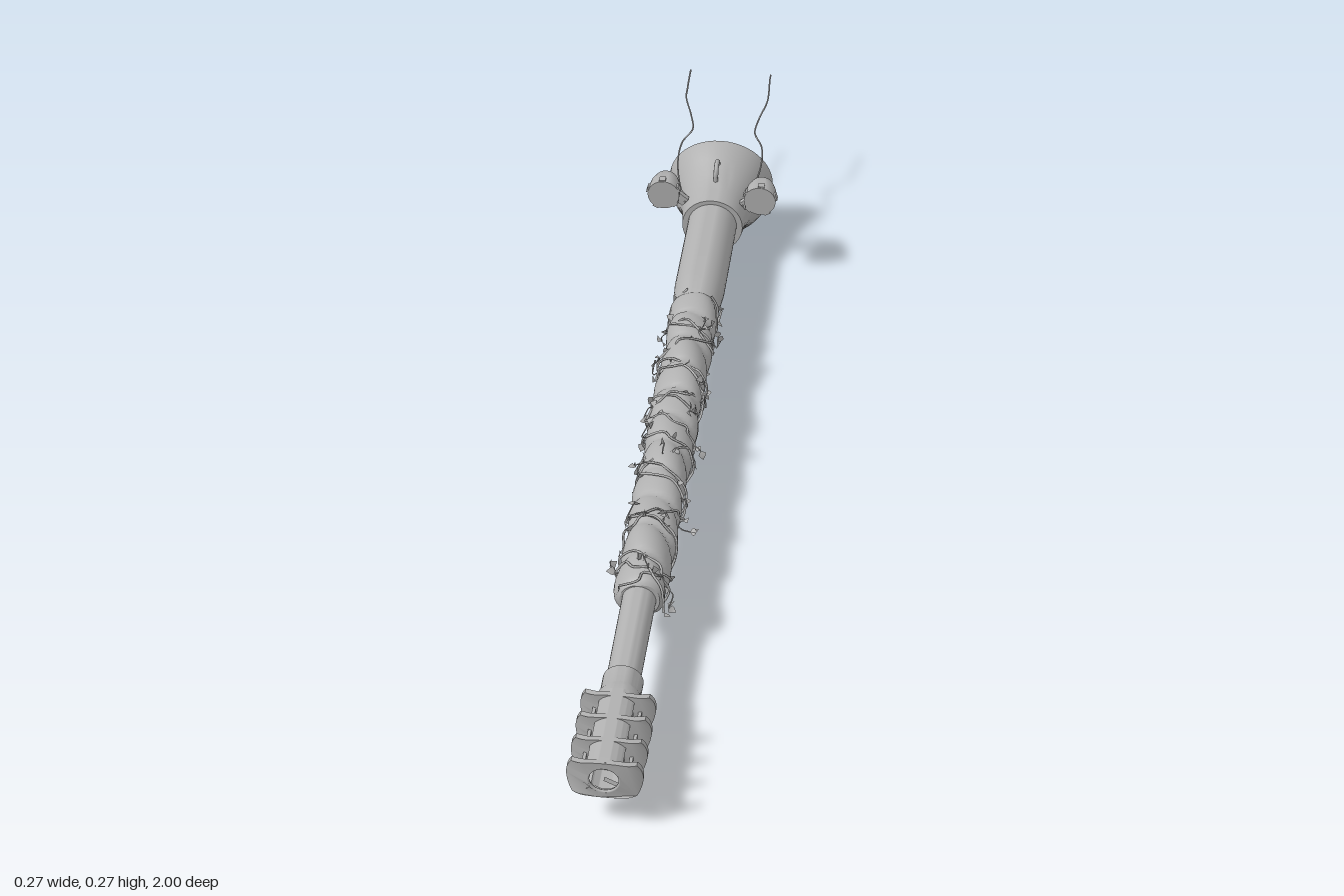
import * as THREE from 'three';
import { mergeGeometries, toCreasedNormals } from 'three/addons/utils/BufferGeometryUtils.js';

const AXIS = 0.107;
const steel = new THREE.MeshStandardMaterial({ color: 0xb0b0b0, side: THREE.DoubleSide });
steel.name = 'plain grey';

// Seeded random numbers
let seed = 7;
const rnd = () => (seed = (seed * 16807) % 2147483647) / 2147483647;
const span = (a, b) => a + (b - a) * rnd();
const V = (x, y, z) => new THREE.Vector3(x, y, z);

// Lathe along z from [radius, z] pairs, ordered back to front
function turned(points, segments = 32) {
  const g = new THREE.LatheGeometry(points.map(p => new THREE.Vector2(p[0], p[1])), segments);
  return g.rotateX(Math.PI / 2);
}

function add(parent, name, geometry, x = 0, y = 0, z = 0) {
  const m = new THREE.Mesh(geometry, steel);
  m.name = name;
  m.position.set(x, y, z);
  parent.add(m);
  return m;
}

const tube = (pts, r, n = 24, sides = 6) =>
  new THREE.TubeGeometry(new THREE.CatmullRomCurve3(pts), n, r, sides);

// Flared base with a flat underside and a back of two sloping planes
function mantletGeometry() {
  const profile = [[0, 1], [0.11, 1], [0.109, 0.95], [0.093, 0.72], [0.078, 0.48],
    [0.068, 0.25], [0.063, 0], [0.046, 0]].map(([r, t]) => [r, -t]);
  const g = turned(profile, 48);
  const p = g.attributes.position;
  for (let i = 0; i < p.count; i++) {
    const y = Math.max(p.getY(i), -0.104);
    const back = -0.828 + (y > 0 ? 0.15 * y : -0.34 * y);
    p.setXYZ(i, p.getX(i), y, -0.655 + p.getZ(i) * (-0.655 - back));
  }
  return toCreasedNormals(g, 0.5);
}

// One swept brake baffle with a bore hole; its tips lean backwards
function baffleGeometry() {
  const s = new THREE.Shape();
  const n = 12, a = 0.56;
  for (let i = 0; i <= n; i++) {
    const t = -a + 2 * a * i / n;
    s.lineTo(0.066 * Math.cos(t), 0.066 * Math.sin(t));
  }
  s.quadraticCurveTo(0, 0.044, -0.066 * Math.cos(a), 0.066 * Math.sin(a));
  for (let i = 0; i <= n; i++) {
    const t = Math.PI - a + 2 * a * i / n;
    s.lineTo(0.066 * Math.cos(t), 0.066 * Math.sin(t));
  }
  s.quadraticCurveTo(0, -0.044, 0.066 * Math.cos(a), -0.066 * Math.sin(a));
  s.holes.push(new THREE.Path().absarc(0, 0, 0.028, 0, Math.PI * 2, true));
  const g = new THREE.ExtrudeGeometry(s, { depth: 0.01, bevelEnabled: false, curveSegments: 24 });
  const p = g.attributes.position;
  for (let i = 0; i < p.count; i++) {
    const over = Math.max(0, Math.abs(p.getX(i)) - 0.035);
    p.setZ(i, p.getZ(i) - 15 * over * over);
  }
  return toCreasedNormals(g, 0.6);
}

function muzzleBrake() {
  const brake = new THREE.Group();
  brake.name = 'muzzleBrake';
  for (let i = 0; i < 4; i++) add(brake, 'baffle', baffleGeometry(), 0, 0, 0.99 - i * 0.056);
  // Curved top and bottom shells tie the baffles together
  const arc = new THREE.Shape();
  arc.absarc(0, 0, 0.04, Math.PI * 0.22, Math.PI * 0.78, false);
  arc.absarc(0, 0, 0.03, Math.PI * 0.78, Math.PI * 0.22, true);
  for (const turn of [0, Math.PI]) {
    const g = new THREE.ExtrudeGeometry(arc, { depth: 0.185, bevelEnabled: false, curveSegments: 16 });
    add(brake, 'brakeShell', toCreasedNormals(g, 0.6), 0, 0, 0.812).rotation.z = turn;
  }
  for (const s of [-1, 1]) add(brake, 'sideBar', new THREE.BoxGeometry(0.006, 0.007, 0.18), s * 0.04, 0, 0.9);
  add(brake, 'boreRing', new THREE.TorusGeometry(0.028, 0.003, 8, 32), 0, 0, 0.997);
  add(brake, 'brakeCollar', toCreasedNormals(
    turned([[0.028, 0.748], [0.036, 0.75], [0.036, 0.79], [0.04, 0.80], [0.04, 0.825], [0, 0.825]]), 0.5));
  return brake;
}

// Lumpy cloth sleeve wound round the middle of the barrel
function wrapGeometry() {
  const g = new THREE.CylinderGeometry(1, 1, 0.89, 32, 150, false).rotateX(Math.PI / 2);
  const p = g.attributes.position;
  for (let i = 0; i < p.count; i++) {
    const x = p.getX(i), y = p.getY(i), z = p.getZ(i) + 0.09;
    const a = Math.atan2(y, x);
    const fold = Math.abs(Math.sin(z * 38 + a * 0.5 + 0.9 * Math.sin(a)));
    const end = Math.min(1, (0.54 - z) / 0.03 + 0.65, (z + 0.36) / 0.03 + 0.75);
    const r = (0.039 + 0.009 * Math.sqrt(fold) + 0.002 * Math.sin(3 * a + z * 21)) * end;
    if (x * x + y * y > 0.5) p.setXYZ(i, x * r, y * r, z);
    else p.setZ(i, z);
  }
  g.computeVertexNormals();
  return g;
}

// A small folded leaf
function leafGeometry(size) {
  const s = new THREE.Shape();
  [[0, 0], [0.45, 0.3], [0.35, 0.55], [0, 1], [-0.35, 0.55], [-0.45, 0.3]]
    .forEach(([x, y]) => s.lineTo(x * size, y * size));
  const g = new THREE.ShapeGeometry(s);
  const p = g.attributes.position;
  for (let i = 0; i < p.count; i++) p.setZ(i, Math.abs(p.getX(i)) * 0.5);
  g.computeVertexNormals();
  return g;
}

// Creepers spiralling along the sleeve, with sprigs and leaves
function creepers() {
  const group = new THREE.Group();
  group.name = 'creepers';
  const stems = [], leaves = [];
  const onBarrel = (a, r, z) => V(Math.cos(a) * r, Math.sin(a) * r, z);
  const leafAt = (pos) => {
    const g = leafGeometry(span(0.012, 0.02));
    g.applyQuaternion(new THREE.Quaternion().setFromEuler(
      new THREE.Euler(span(0, 6.28), span(0, 6.28), span(0, 6.28))));
    leaves.push(g.translate(pos.x, pos.y, pos.z));
  };
  for (const [start, turns] of [[0, 6], [2.1, -5], [4.2, 7.5]]) {
    const pts = [], n = 76;
    for (let i = 0; i <= n; i++) {
      const t = i / n;
      const a = start + turns * 6.283 * t + span(-0.3, 0.3);
      const z = 0.54 - 0.89 * t + span(-0.01, 0.01);
      const r = span(0.046, 0.054);
      pts.push(onBarrel(a, r, z));
      if (i % 3 === 0) leafAt(onBarrel(a, r + 0.002, z));
      // Loose sprigs, longer where they hang below
      if (i % 7 === 3) {
        const reach = Math.sin(a) < -0.4 ? span(0.066, 0.08) : span(0.054, 0.062);
        const tip = onBarrel(a + span(-0.4, 0.4), reach, z + span(-0.03, 0.03));
        stems.push(tube([pts[i], onBarrel(a, (r + reach) / 2 + 0.004, z + 0.01), tip], 0.0013, 6, 4));
        leafAt(tip);
        leafAt(tip);
      }
    }
    stems.push(tube(pts, 0.0024, 300, 5));
  }
  add(group, 'creeperStems', mergeGeometries(stems));
  add(group, 'creeperLeaves', mergeGeometries(leaves));
  return group;
}

// Lamp with rim lugs, bracket and trailing wire on one side
function lampSet(s) {
  const set = new THREE.Group();
  set.name = s > 0 ? 'leftLamp' : 'rightLamp';
  const shell = turned([[0, -0.703], [0.014, -0.699], [0.025, -0.688], [0.031, -0.67],
    [0.033, -0.652], [0.033, -0.634], [0, -0.634]], 24);
  add(set, 'lampShell', toCreasedNormals(shell, 0.6), s * 0.1, 0.188, 0);
  for (const a of [0.3, 1.5, 2.7, 3.9, 5.2]) {
    const lug = add(set, 'rimLug', new THREE.BoxGeometry(0.006, 0.013, 0.014),
      s * (0.1 + 0.033 * Math.cos(a)), 0.188 + 0.033 * Math.sin(a), -0.642);
    lug.rotation.z = s * a;
  }
  add(set, 'lampBracket', tube([V(s * 0.095, 0.18, -0.695), V(s * 0.088, 0.166, -0.715),
    V(s * 0.074, 0.152, -0.705), V(s * 0.055, 0.138, -0.695)], 0.005));
  const foot = add(set, 'bracketFoot', new THREE.BoxGeometry(0.034, 0.02, 0.012), s * 0.073, 0.15, -0.688);
  foot.rotation.z = s * 0.7;
  add(set, 'trailingWire', tube([V(s * 0.06, 0.142, -0.68), V(s * 0.078, 0.158, -0.73),
    V(s * 0.088, 0.176, -0.79), V(s * 0.084, 0.19, -0.835), V(s * 0.066, 0.202, -0.87),
    V(s * 0.072, 0.222, -0.89), V(s * 0.086, 0.246, -0.92), V(s * 0.087, 0.251, -0.95),
    V(s * 0.086, 0.264, -0.98), V(s * 0.086, 0.265, -1)], 0.0018, 60));
  return set;
}

export function createModel() {
  const model = new THREE.Group();
  model.name = 'barrelAssembly';
  const gun = new THREE.Group();
  gun.name = 'barrel';
  gun.position.y = AXIS;
  model.add(gun);

  add(gun, 'barrelTube', toCreasedNormals(turned([[0, -0.7], [0.051, -0.7], [0.051, -0.42],
    [0.046, -0.35], [0.036, -0.33], [0.031, 0.5], [0.03, 0.76], [0, 0.76]]), 0.5));
  add(gun, 'clothWrap', wrapGeometry());
  gun.add(creepers(), muzzleBrake());

  add(model, 'flaredBase', mantletGeometry(), 0, 0.104, 0);
  // Lifting eye on top of the base
  const eye = add(model, 'liftingEye', new THREE.TorusGeometry(0.021, 0.005, 8, 16, Math.PI), 0, 0.186, -0.737);
  eye.rotation.y = Math.PI / 2;
  for (const s of [-1, 1]) {
    add(model, 'eyeLeg', new THREE.CylinderGeometry(0.005, 0.005, 0.024, 8), 0, 0.175, -0.737 + s * 0.021);
    model.add(lampSet(s));
  }
  return model;
}
